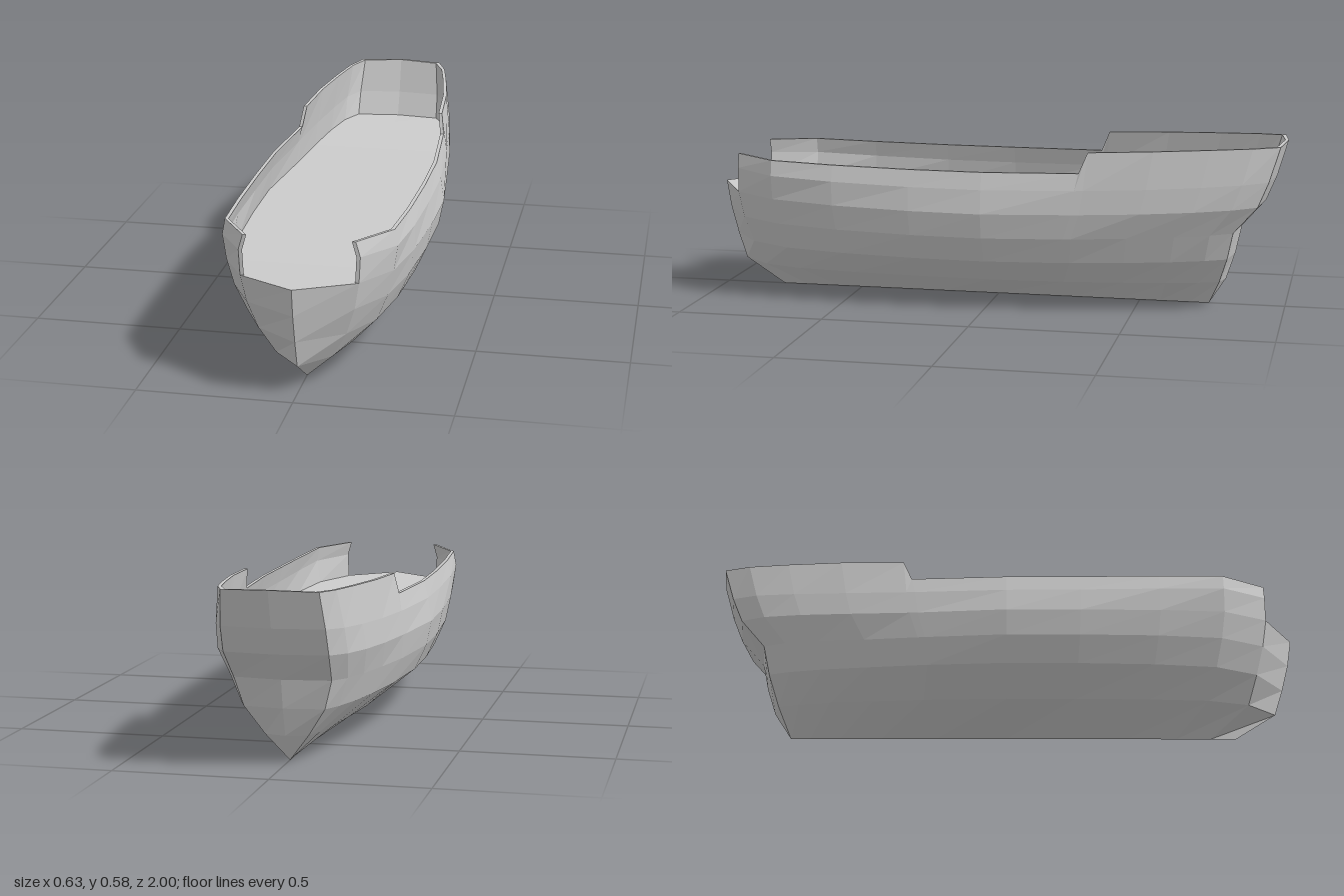
import * as THREE from 'three';

// Stations from stem (u = 1) to transom (u = -1): half widths of the rows
// keel, bilge, lower side, upper side, deck edge, bulwark middle, bulwark top
const STATIONS = [
  [1.00, 0, 0, 0, 0, 0, 0, 0],
  [0.89, 0, 0.090, 0.140, 0.170, 0.186, 0.190, 0.176],
  [0.74, 0, 0.130, 0.210, 0.247, 0.268, 0.280, 0.270],
  [0.52, 0, 0.146, 0.241, 0.280, 0.297, 0.297, 0.283],
  [0.25, 0, 0.153, 0.257, 0.297, 0.313, 0.304, 0.290],
  [0.00, 0, 0.155, 0.260, 0.300, 0.317, 0.305, 0.290],
  [-0.33, 0, 0.144, 0.240, 0.273, 0.286, 0.280, 0.266],
  [-0.36, 0, 0.142, 0.237, 0.270, 0.283, 0.277, 0.255],
  [-0.58, 0, 0.126, 0.212, 0.242, 0.262, 0.256, 0.240],
  [-0.77, 0, 0.110, 0.186, 0.216, 0.237, 0.230, 0.212],
  [-0.91, 0, 0.090, 0.158, 0.190, 0.207, 0.203, 0.186],
  [-1.00, 0, 0.070, 0.130, 0.156, 0.166, 0.164, 0.153],
];
const BOW = [0.79, 0.93, 0.96, 0.985, 1, 1, 1]; // reach of each row forward
const STERN = [0.74, 0.78, 0.81, 0.83, 0.91, 0.945, 0.98]; // and aft
const BASE = [0, 0.083, 0.168, 0.255, 0.34];
const DECK = 4, MID = 5, TOP = 6;
const WALL = 0.012;

// Row height with sheer; the bulwark steps up toward the stern
function height(row, u) {
  if (row <= DECK) return BASE[row] * (1 + 0.088 * u * u);
  if (row === MID) return 0.42 + 0.035 * u * u;
  return u < -0.35 ? 0.55 + 0.022 * (-u - 0.36) / 0.64 : 0.478 + 0.024 * u * u;
}

// One point on a row; inset moves it inward for the inner wall
function point(station, row, side, inset = 0) {
  const u = station[0];
  let z = u * (u > 0 ? BOW[row] : STERN[row]);
  if (u === -1) z += inset;
  return [side * Math.max(0, station[row + 1] - inset), height(row, u), z];
}

// Middle of the slightly bowed transom
function transomCentre(row, inset = 0) {
  const y = height(row, -1) + (row === TOP ? 0.004 : 0);
  return [0, y, -STERN[row] - (row ? 0.018 : 0) + inset];
}

// A row running from the +x bow around the stern to the -x bow
function ring(stations, row, inset = 0) {
  return [
    ...stations.map((s) => point(s, row, 1, inset)),
    transomCentre(row, inset),
    ...[...stations].reverse().map((s) => point(s, row, -1, inset)),
  ];
}

// Surface through rows of points; front side is column direction x row direction
function loft(name, rows) {
  const n = rows[0].length, index = [];
  for (let r = 0; r < rows.length - 1; r++) {
    for (let c = 0; c < n - 1; c++) {
      const a = r * n + c, b = a + 1, d = a + n, e = d + 1;
      index.push(a, b, e, a, e, d);
    }
  }
  let geometry = new THREE.BufferGeometry();
  geometry.setAttribute('position', new THREE.Float32BufferAttribute(rows.flat(2), 3));
  geometry.setIndex(index);
  geometry = geometry.toNonIndexed();
  geometry.computeVertexNormals();
  const mesh = new THREE.Mesh(geometry, new THREE.MeshStandardMaterial({
    color: 0xcccccc, flatShading: true, side: THREE.DoubleSide,
  }));
  mesh.name = name;
  return mesh;
}

export function createModel() {
  const model = new THREE.Group();
  model.name = 'boatHull';

  // Planked shell with transom, keel to deck edge
  model.add(loft('hull', [0, 1, 2, 3, DECK].map((row) => ring(STATIONS, row))));

  // Deck, pointed at the bow
  const deckRows = STATIONS.map((s) => {
    const left = point(s, DECK, 1), right = point(s, DECK, -1);
    return [right, [0, left[1], left[2]], left];
  });
  deckRows[deckRows.length - 1][1] = transomCentre(DECK);
  model.add(loft('deck', deckRows));

  // Bulwark: outer face, rail and inner face, open at the bow
  const walled = STATIONS.slice(1);
  model.add(loft('bulwark', [
    ...[DECK, MID, TOP].map((row) => ring(walled, row)),
    ...[TOP, MID, DECK].map((row) => ring(walled, row, WALL)),
  ]));

  // Forward ends of the bulwark
  for (const side of [1, -1]) {
    const insets = side > 0 ? [WALL, 0] : [0, WALL];
    model.add(loft(side > 0 ? 'leftBulwarkEnd' : 'rightBulwarkEnd',
      [DECK, MID, TOP].map((row) => insets.map((i) => point(walled[0], row, side, i)))));
  }
  return model;
}
